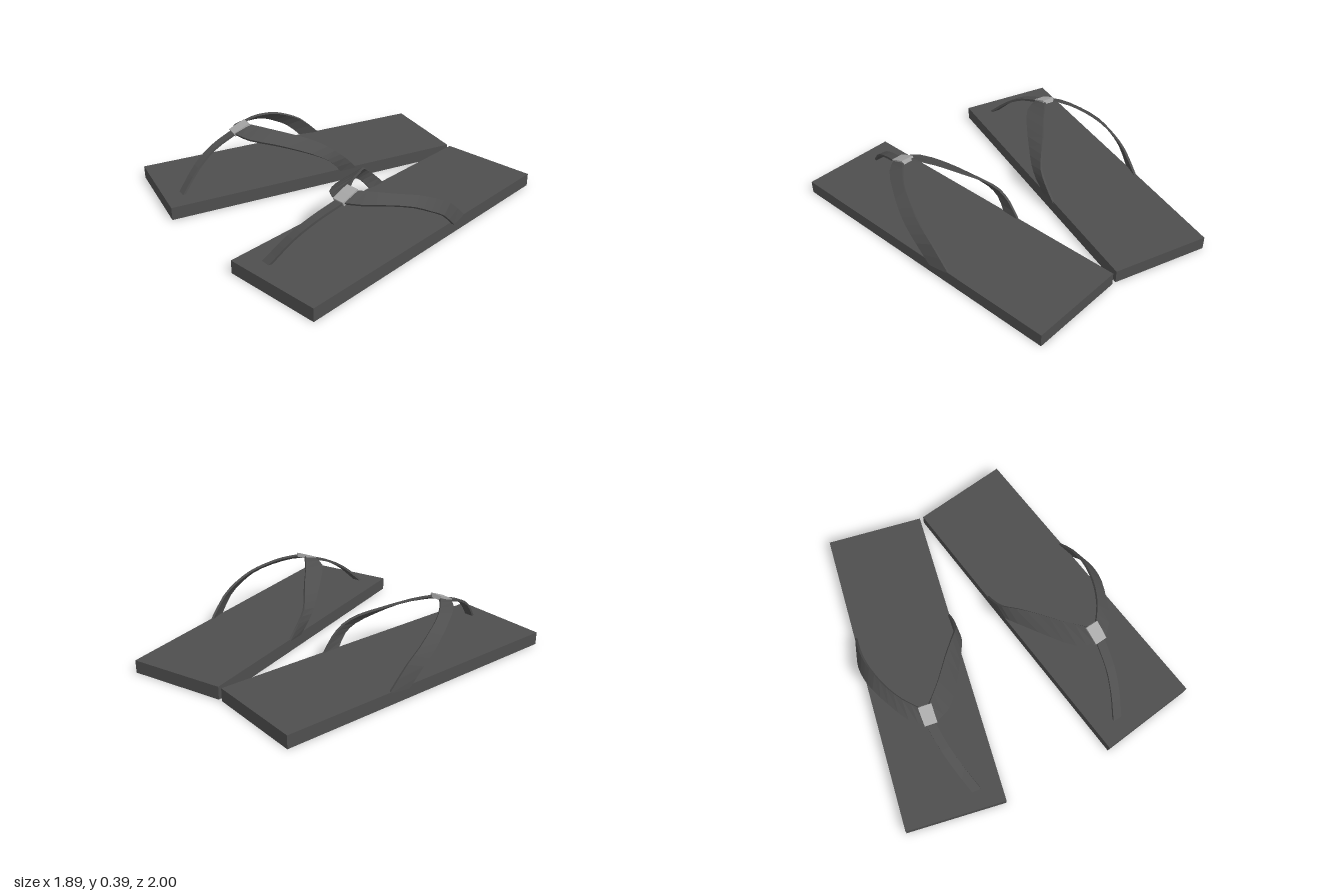
import * as THREE from 'three';

const rubber = new THREE.MeshStandardMaterial({ color: 0x4e4e4e });
rubber.name = 'darkGreyRubber';
const clasp = new THREE.MeshStandardMaterial({ color: 0xa8a8a8 });
clasp.name = 'lightGreyClasp';

// Flat band of given thickness, lofted between two edge curves
function band(edgeA, edgeB, thickness, steps, side) {
  const curve = (pts) => new THREE.CatmullRomCurve3(
    pts.map(([x, y, z]) => new THREE.Vector3(x * side, y, z)), false, 'centripetal');
  const a = curve(edgeA), b = curve(edgeB);
  const pos = [], idx = [];
  for (let i = 0; i <= steps; i++) {
    const t = i / steps;
    const p = a.getPoint(t), q = b.getPoint(t);
    const along = a.getTangent(t).add(b.getTangent(t)).normalize();
    const n = along.cross(q.clone().sub(p)).normalize().multiplyScalar(thickness / 2);
    for (const [v, s] of [[p, -1], [q, -1], [q, 1], [p, 1]]) {
      pos.push(v.x + n.x * s, v.y + n.y * s, v.z + n.z * s);
    }
    if (i === steps) break;
    for (let j = 0; j < 4; j++) {
      const k = (j + 1) % 4, o = i * 4;
      idx.push(o + j, o + k, o + 4 + k, o + j, o + 4 + k, o + 4 + j);
    }
  }
  const e = steps * 4;
  idx.push(0, 2, 1, 0, 3, 2, e, e + 1, e + 2, e, e + 2, e + 3);
  const indexed = new THREE.BufferGeometry();
  indexed.setAttribute('position', new THREE.Float32BufferAttribute(pos, 3));
  indexed.setIndex(idx);
  const geo = indexed.toNonIndexed();
  geo.computeVertexNormals();
  return geo;
}

function createSandal(side) {
  const sandal = new THREE.Group();
  const add = (name, geo, mat) => {
    const mesh = new THREE.Mesh(geo, mat);
    mesh.name = name;
    sandal.add(mesh);
    return mesh;
  };

  // Sole: plain slab with the toes turned outwards
  const sole = add('sole', new THREE.BoxGeometry(0.61, 0.08, 1.92), rubber);
  sole.position.set(0.479 * side, 0.04, 0);
  sole.rotation.y = side * THREE.MathUtils.degToRad(10);

  // Outer strap: lower front edge, upper back edge
  add('outerStrap', band(
    [[0.765, 0.07, -0.2], [0.783, 0.17, -0.1], [0.783, 0.23, 0], [0.765, 0.28, 0.1],
      [0.72, 0.315, 0.23], [0.655, 0.335, 0.37], [0.575, 0.34, 0.45]],
    [[0.722, 0.07, -0.325], [0.737, 0.2, -0.19], [0.737, 0.262, -0.08], [0.72, 0.31, 0.03],
      [0.69, 0.34, 0.14], [0.64, 0.365, 0.25], [0.57, 0.38, 0.35]],
    0.014, 12, side), rubber);

  // Inner strap
  add('innerStrap', band(
    [[0.155, 0.07, -0.09], [0.148, 0.15, -0.02], [0.17, 0.2, 0.05], [0.235, 0.25, 0.16],
      [0.32, 0.295, 0.29], [0.42, 0.325, 0.41], [0.52, 0.34, 0.45]],
    [[0.138, 0.07, -0.205], [0.142, 0.16, -0.12], [0.162, 0.22, -0.05], [0.22, 0.272, 0.02],
      [0.31, 0.312, 0.12], [0.41, 0.35, 0.24], [0.52, 0.38, 0.35]],
    0.014, 12, side), rubber);

  // Toe strap, arching from the clasp down to the sole
  add('toeStrap', band(
    [[0.53, 0.345, 0.42], [0.515, 0.28, 0.6], [0.487, 0.2, 0.73], [0.445, 0.07, 0.87]],
    [[0.585, 0.345, 0.42], [0.568, 0.28, 0.6], [0.541, 0.2, 0.73], [0.502, 0.07, 0.865]],
    0.014, 9, side), rubber);

  // Clasp where the three straps meet
  add('strapClasp', band(
    [[0.503, 0.382, 0.35], [0.51, 0.362, 0.4], [0.517, 0.338, 0.455]],
    [[0.583, 0.382, 0.34], [0.588, 0.362, 0.39], [0.592, 0.338, 0.445]],
    0.026, 2, side), clasp);

  return sandal;
}

export function createModel() {
  const model = new THREE.Group();
  model.name = 'sandals';
  for (const side of [1, -1]) {
    const sandal = createSandal(side);
    sandal.name = side > 0 ? 'leftSandal' : 'rightSandal';
    model.add(sandal);
  }
  return model;
}
